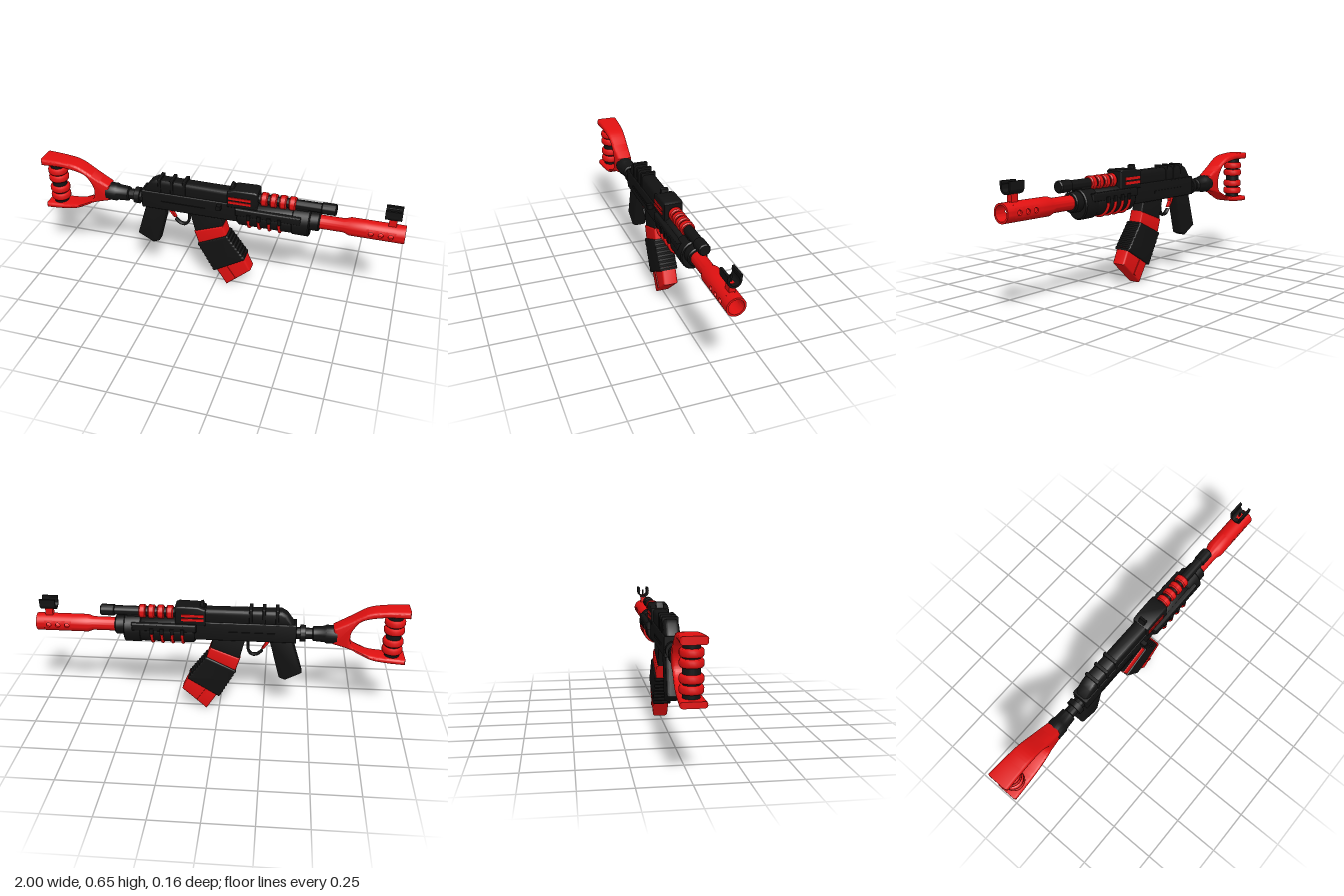
import * as THREE from 'three';
import { toCreasedNormals } from 'three/addons/utils/BufferGeometryUtils.js';

const black = new THREE.MeshStandardMaterial({ color: 0x121212, side: THREE.DoubleSide });
black.name = 'matte black';
const red = new THREE.MeshStandardMaterial({ color: 0xe01010, side: THREE.DoubleSide });
red.name = 'bright red';

const AXIS = 0.5; // barrel height

export function createModel() {
  const model = new THREE.Group();
  const add = (name, geo, mat, x = 0, y = 0, z = 0) => {
    const m = new THREE.Mesh(geo, mat);
    m.name = name;
    m.position.set(x, y, z);
    model.add(m);
    return m;
  };
  const box = (name, mat, x0, x1, y0, y1, z0, z1) =>
    add(name, new THREE.BoxGeometry(x1 - x0, y1 - y0, z1 - z0), mat, (x0 + x1) / 2, (y0 + y1) / 2, (z0 + z1) / 2);
  // Turned part along x from [x, radius] pairs
  const turned = (name, mat, pts, y, seg = 28) => {
    const g = new THREE.LatheGeometry(pts.map(([x, r]) => new THREE.Vector2(r, x)), seg);
    g.rotateZ(-Math.PI / 2);
    return add(name, toCreasedNormals(g, 0.6), mat, 0, y);
  };
  const rod = (name, mat, x0, x1, r, y) => {
    const c = Math.min(0.006, r * 0.2, (x1 - x0) * 0.25);
    return turned(name, mat, [[x0, 0], [x0, r - c], [x0 + c, r], [x1 - c, r], [x1, r - c], [x1, 0]], y);
  };
  // Side outline given depth in z, with rounded edges
  const slabGeo = (shape, half, bevel) => {
    const g = new THREE.ExtrudeGeometry(shape, {
      depth: 2 * (half - bevel), bevelEnabled: bevel > 0, bevelSize: bevel, bevelThickness: bevel,
      bevelOffset: -bevel, bevelSegments: 3, curveSegments: 10,
    });
    return g.translate(0, 0, -(half - bevel));
  };
  const poly = (pts) => new THREE.Shape(pts.map(([x, y]) => new THREE.Vector2(x, y)));
  const slab = (name, mat, pts, half, bevel = 0.008) =>
    add(name, toCreasedNormals(slabGeo(poly(pts), half, bevel), 0.6), mat);

  // Fork-shaped stock, flaring sideways toward its back
  const vecs = (a) => a.map(([x, y]) => new THREE.Vector2(x, y));
  const fork = new THREE.Shape();
  fork.moveTo(-1, 0.345);
  fork.splineThru(vecs([[-0.9, 0.35], [-0.81, 0.365], [-0.71, 0.415], [-0.61, 0.445]]));
  fork.lineTo(-0.61, 0.535);
  fork.splineThru(vecs([[-0.7, 0.585], [-0.79, 0.635], [-0.88, 0.65], [-1, 0.655]]));
  fork.lineTo(-1, 0.617);
  fork.splineThru(vecs([[-0.87, 0.615], [-0.76, 0.59], [-0.715, 0.54], [-0.7, 0.49], [-0.715, 0.435], [-0.79, 0.395], [-0.88, 0.38], [-1, 0.375]]));
  const forkGeo = slabGeo(fork, 1, 0.012);
  const fp = forkGeo.attributes.position;
  for (let i = 0; i < fp.count; i++) {
    const x = fp.getX(i), z = fp.getZ(i);
    const flare = THREE.MathUtils.clamp((-0.61 - x) / 0.39, 0, 1);
    const edge = (Math.abs(z) - 0.988) / 0.012; // rounded rim position
    const w = 0.042 + 0.02 * flare;
    fp.setZ(i, Math.sign(z) * (w - 0.014 * (1 - Math.max(edge, 0))));
  }
  add('stock', toCreasedNormals(forkGeo, 0.7), red);

  // Ringed hand bar between the fork arms
  add('handBar', new THREE.CylinderGeometry(0.04, 0.04, 0.26, 24), black, -0.93, 0.495);
  for (const y of [0.575, 0.53, 0.462, 0.415]) {
    const ring = new THREE.LatheGeometry(vecs([[0.036, -0.02], [0.05, -0.018], [0.055, -0.009], [0.055, 0.009], [0.05, 0.018], [0.036, 0.02]]), 24);
    add('handBarRing', ring, red, -0.93, y);
  }

  // Neck joining stock and receiver
  turned('neck', black, [[-0.63, 0], [-0.63, 0.05], [-0.575, 0.05], [-0.565, 0.044], [-0.505, 0.04], [-0.5, 0.03],
    [-0.465, 0.03], [-0.465, 0.045], [-0.435, 0.045], [-0.435, 0.032], [-0.4, 0.032]], 0.487);

  // Receiver and its cover
  slab('receiver', black, [[-0.415, 0.445], [0.16, 0.445], [0.16, 0.55], [-0.415, 0.55]], 0.046, 0.006);
  slab('receiverCover', black, [[-0.405, 0.53], [0.1, 0.53], [0.1, 0.618], [-0.335, 0.622], [-0.365, 0.605], [-0.405, 0.55]], 0.04, 0.022);
  for (const x of [-0.31, -0.24, -0.17]) slab('coverRib', black, [[x - 0.009, 0.54], [x + 0.009, 0.54], [x + 0.009, 0.632], [x - 0.009, 0.632]], 0.043, 0.006);
  box('chargingHandle', black, 0.018, 0.042, 0.515, 0.54, 0.03, 0.075);
  box('selectorPlate', black, -0.3, -0.05, 0.485, 0.5, -0.05, 0.05);

  // Grip, trigger and guard
  slab('pistolGrip', black, [[-0.395, 0.455], [-0.27, 0.455], [-0.285, 0.4], [-0.33, 0.222], [-0.365, 0.207], [-0.455, 0.255]], 0.036, 0.014);
  slab('trigger', red, [[-0.275, 0.45], [-0.245, 0.45], [-0.25, 0.42], [-0.23, 0.385], [-0.245, 0.388], [-0.268, 0.42]], 0.012, 0.003);
  const guard = new THREE.CatmullRomCurve3([[-0.235, 0.375], [-0.21, 0.352], [-0.18, 0.348], [-0.16, 0.37], [-0.155, 0.45]].map(([x, y]) => new THREE.Vector3(x, y, 0)));
  const guardGeo = new THREE.TubeGeometry(guard, 20, 0.008, 8);
  add('triggerGuard', guardGeo.scale(1, 1, 1.8), black);

  // Magazine with a toothed sleeve
  slab('magazineTop', black, [[-0.145, 0.46], [0.03, 0.46], [0.05, 0.38], [-0.11, 0.32]], 0.036);
  slab('magazineBand', red, [[-0.117, 0.335], [0.048, 0.398], [0.072, 0.32], [-0.09, 0.255]], 0.042, 0.01);
  const tooth = (a, b, nx, ny, n = 8) => Array.from({ length: 2 * n + 1 }, (_, i) => {
    const t = i / (2 * n), o = i % 2 ? 0.005 : 0;
    return [a[0] + (b[0] - a[0]) * t + nx * o, a[1] + (b[1] - a[1]) * t + ny * o];
  });
  slab('magazineSleeve', black, [...tooth([-0.095, 0.262], [0, 0.093], -0.87, -0.5), ...tooth([0.173, 0.2], [0.068, 0.34], 0.8, 0.6)], 0.05, 0.008);
  slab('magazineFoot', red, [[0, 0.115], [0.165, 0.215], [0.206, 0.128], [0.07, 0.005]], 0.041, 0.012);
  for (const s of [-1, 1]) {
    const rib = box('magazineRib', red, -0.008, 0.008, -0.05, 0.05, -0.003, 0.003);
    rib.position.set(0.09, 0.1, s * 0.042);
    rib.rotation.z = 0.6;
  }

  // Handguard: rounded body, side rails and front collar
  const body = turned('handguard', black, [[0.13, 0], [0.13, 0.062], [0.14, 0.068], [0.42, 0.068], [0.43, 0.062], [0.43, 0]], 0.485);
  body.scale.y = 1.05;
  slab('handguardRail', black, [[0.12, 0.495], [0.47, 0.495], [0.47, 0.538], [0.12, 0.538]], 0.069, 0.008);
  const collar = rod('handguardCollar', black, 0.42, 0.515, 0.068, 0.485);
  collar.scale.y = 1.15;
  rod('barrelCollar', black, 0.51, 0.565, 0.052, AXIS);
  for (const x of [0.195, 0.25, 0.305, 0.36]) {
    const hoop = new THREE.TorusGeometry(0.073, 0.008, 8, 28, Math.PI);
    hoop.rotateZ(Math.PI).rotateY(Math.PI / 2);
    add('handguardHoop', hoop, red, x, 0.484);
    box('hoopCap', black, x - 0.01, x + 0.01, 0.484, 0.514, -0.076, 0.076);
  }

  // Rear sight block with red side stripes
  slab('rearSightBlock', black, [[0.07, 0.53], [0.235, 0.53], [0.235, 0.63], [0.22, 0.638], [0.11, 0.635], [0.07, 0.62]], 0.05, 0.008);
  slab('rearSightLeaf', black, [[0.075, 0.62], [0.105, 0.62], [0.1, 0.65], [0.085, 0.655]], 0.02, 0.003);
  for (const s of [-1, 1]) for (const y of [0.564, 0.588]) box('sightStripe', red, 0.08, 0.2, y - 0.007, y + 0.007, s * 0.051 - 0.003, s * 0.051 + 0.003);

  // Gas tube with red sleeves
  rod('gasTube', black, 0.22, 0.58, 0.026, 0.584);
  for (const x of [0.247, 0.297, 0.347, 0.397]) rod('gasTubeSleeve', red, x, x + 0.037, 0.037, 0.584);
  rod('gasTubeCap', black, 0.565, 0.645, 0.031, 0.584);
  box('gasTubeMount', black, 0.43, 0.5, 0.53, 0.58, -0.02, 0.02);

  // Barrel and hollow muzzle with three cross holes
  const R = 0.048, Ri = 0.038, H = 0.025, a = H / R;
  turned('barrel', red, [[0.54, 0.037], [0.69, 0.037], [0.72, R], [0.805, R]], AXIS, 40);
  turned('muzzleBore', red, [[0.805, Ri], [0.7, Ri]], AXIS, 40);
  turned('muzzleEnd', red, [[0.955, R], [1, R], [1, Ri], [0.955, Ri]], AXIS, 40);
  turned('borePlug', black, [[0.7, 0], [0.7, 0.037], [0.705, 0.037], [0.705, 0]], AXIS);
  for (const r of [R, Ri]) for (const start of [a, Math.PI + a]) {
    const g = new THREE.CylinderGeometry(r, r, 0.15, 20, 1, true, start, Math.PI - 2 * a);
    add('muzzleWall', g.rotateZ(-Math.PI / 2), red, 0.88, AXIS);
  }
  const N = 24;
  const holePatch = () => {
    const pos = [], idx = [];
    [[R, 0], [R, 1], [Ri, 1], [Ri, 0]].forEach(([r, round], j) => {
      for (let i = 0; i < N; i++) {
        const t = (i / N) * 2 * Math.PI, c = Math.cos(t), s = Math.sin(t);
        const k = round ? 0.013 : H / Math.max(Math.abs(c), Math.abs(s));
        pos.push(c * k, r * Math.sin((s * k) / R), r * Math.cos((s * k) / R));
        const n = (i + 1) % N;
        if (j < 3) idx.push(j * N + i, j * N + n, (j + 1) * N + n, j * N + i, (j + 1) * N + n, (j + 1) * N + i);
      }
    });
    const g = new THREE.BufferGeometry();
    g.setAttribute('position', new THREE.Float32BufferAttribute(pos, 3));
    g.setIndex(idx);
    return toCreasedNormals(g, 0.6);
  };
  for (const x of [0.83, 0.88, 0.93]) for (const turn of [0, Math.PI]) add('muzzleHole', holePatch().rotateX(turn), red, x, AXIS);

  // Front sight: open cradle on a post
  box('frontSightPost', red, 0.91, 0.95, 0.54, 0.592, -0.015, 0.015);
  const cradle = new THREE.Shape();
  cradle.absarc(0, 0, 0.034, Math.PI * 0.8, Math.PI * 2.2, false);
  cradle.absarc(0, 0, 0.024, Math.PI * 2.2, Math.PI * 0.8, true);
  const cradleGeo = new THREE.ExtrudeGeometry(cradle, { depth: 0.085, bevelEnabled: false, curveSegments: 20 });
  add('frontSightCradle', toCreasedNormals(cradleGeo.rotateY(Math.PI / 2), 0.6), black, 0.887, 0.614);
  for (const s of [-1, 1]) box('frontSightEar', black, 0.887, 0.972, 0.62, 0.643, s * 0.029 - 0.006, s * 0.029 + 0.006);
  box('frontSightPin', black, 0.925, 0.935, 0.585, 0.625, -0.004, 0.004);

  return model;
}
